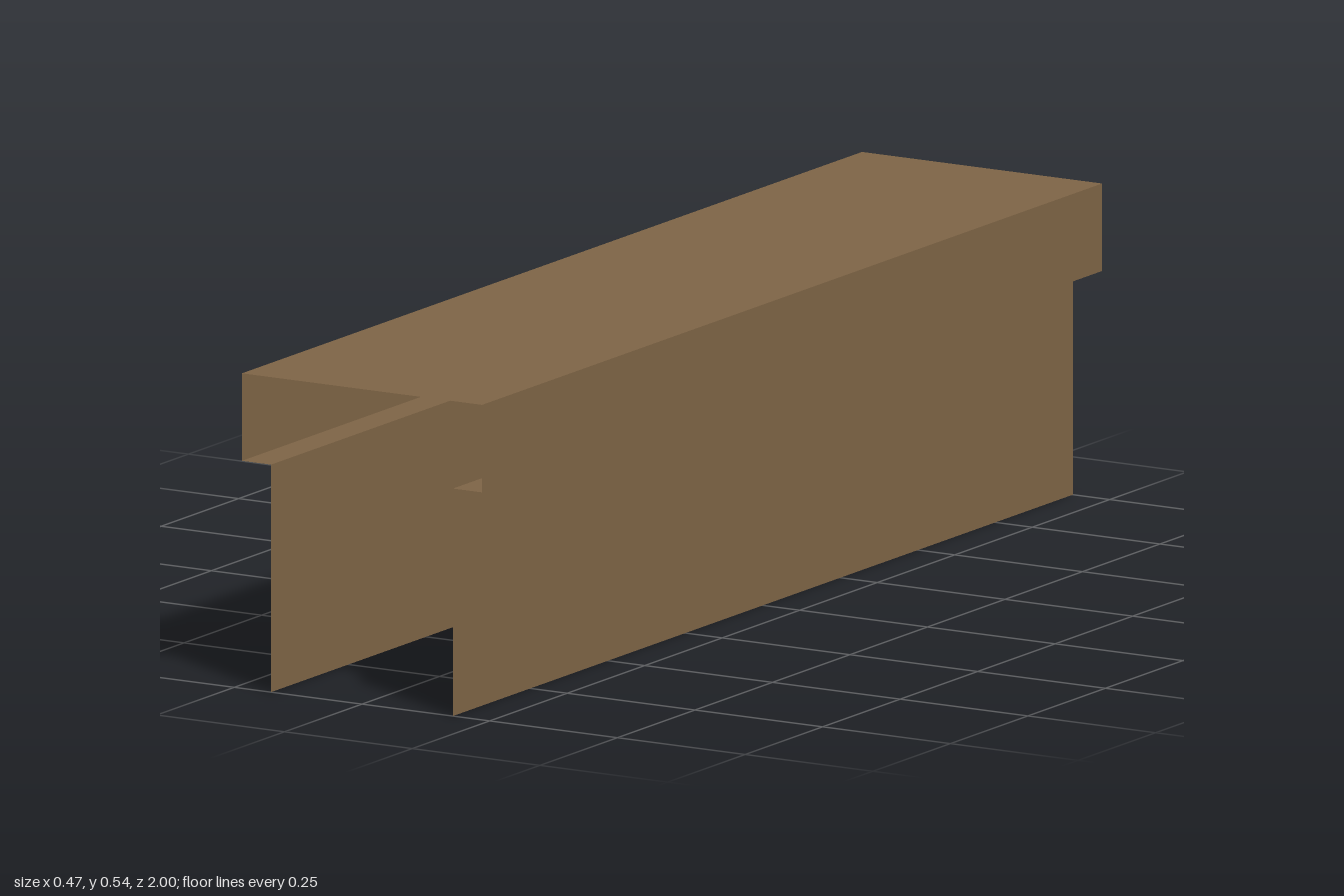
import * as THREE from 'three';

const LENGTH = 2, HEIGHT = 0.54, LEDGE_Y = 0.39, OUTER = 0.235, INNER = 0.178;

export function createModel() {
  const group = new THREE.Group();
  group.name = 'channelBeam';
  const brown = new THREE.MeshStandardMaterial({ color: 0x806647, side: THREE.DoubleSide });
  brown.name = 'brown';

  // Thin sheet running the full length along z, at a given centre
  function sheet(name, width, x, y, upright, side = 1) {
    const geometry = new THREE.PlaneGeometry(upright ? LENGTH : width, upright ? width : LENGTH);
    if (upright) geometry.rotateY(side * Math.PI / 2);
    else geometry.rotateX(-side * Math.PI / 2);
    const mesh = new THREE.Mesh(geometry, brown);
    mesh.name = name;
    mesh.position.set(x, y, 0);
    group.add(mesh);
  }

  // Flat cover on top
  sheet('topCover', OUTER * 2, 0, HEIGHT, false);

  // Mirrored lip, ledge and wall on each side
  for (const [label, s] of [['left', 1], ['right', -1]]) {
    sheet(label + 'Lip', HEIGHT - LEDGE_Y, s * OUTER, (HEIGHT + LEDGE_Y) / 2, true, s);
    sheet(label + 'Ledge', OUTER - INNER, s * (OUTER + INNER) / 2, LEDGE_Y, false, -1);
    sheet(label + 'Wall', LEDGE_Y, s * INNER, LEDGE_Y / 2, true, s);
  }
  return group;
}
